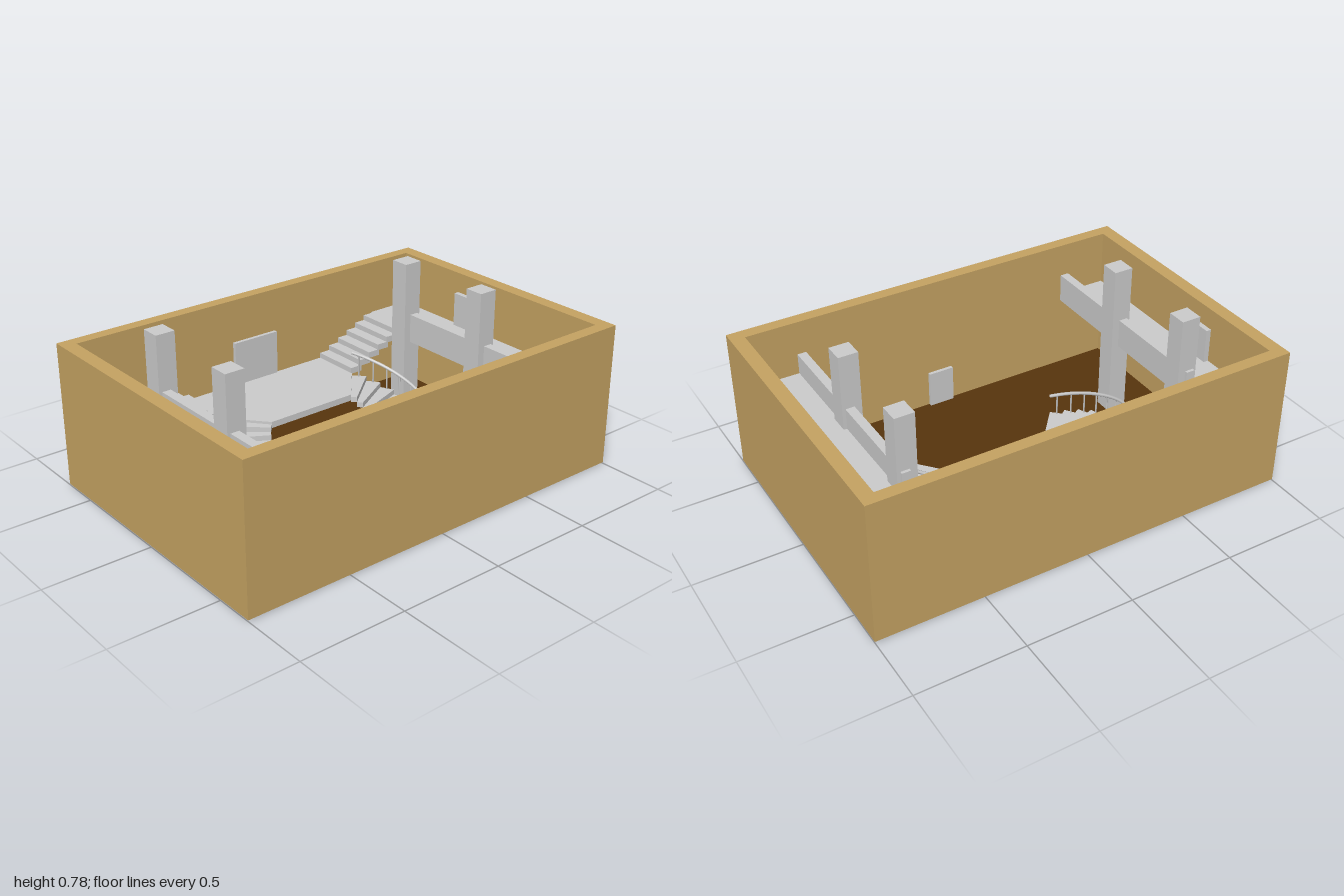
import * as THREE from 'three';

const wallTan = new THREE.MeshStandardMaterial({ color: 0xc4a262 });
const stone = new THREE.MeshStandardMaterial({ color: 0xcbcbcb });
const floorBrown = new THREE.MeshStandardMaterial({ color: 0x57340d });

const FLOOR = 0.02, LANDING = 0.265, BALCONY = 0.42, TREAD = 0.03;
const CX = -0.014; // interior is shifted slightly from the middle

// Box given by its min and max corners (x may be swapped when mirrored)
function box(name, material, [x0, y0, z0], [x1, y1, z1]) {
  const mesh = new THREE.Mesh(new THREE.BoxGeometry(Math.abs(x1 - x0), y1 - y0, z1 - z0), material);
  mesh.position.set((x0 + x1) / 2, (y0 + y1) / 2, (z0 + z1) / 2);
  mesh.name = name;
  return mesh;
}

// Horizontal slab from an outline in x,z with its upper face at the given height
function slab(name, material, points, top, thickness, hole) {
  const shape = new THREE.Shape(points.map(([x, z]) => new THREE.Vector2(x, z)));
  if (hole) shape.holes.push(new THREE.Path(hole.map(([x, z]) => new THREE.Vector2(x, z))));
  const geometry = new THREE.ExtrudeGeometry(shape, { depth: thickness, bevelEnabled: false });
  geometry.rotateX(Math.PI / 2);
  const mesh = new THREE.Mesh(geometry, material);
  mesh.position.y = top;
  mesh.name = name;
  return mesh;
}

const rect = (x0, z0, x1, z1) => [[x0, z0], [x1, z0], [x1, z1], [x0, z1]];

// Curved stair: wedge treads around a centre, with an outer handrail
function curvedStair(s) {
  const group = new THREE.Group();
  group.name = 'curvedStair';
  const cx = 0.122, cz = -0.062, inner = 0.163, outer = 0.408, span = 0.865, steps = 10;
  const at = (r, a) => [s * (cx + r * Math.cos(a)), cz + r * Math.sin(a)];
  const heightAt = (t) => LANDING - (LANDING - FLOOR) * t;
  for (let i = 0; i < steps; i++) {
    const a0 = -span + (2 * span * i) / steps;
    const a1 = -span + (2 * span * (i + 1)) / steps;
    const am = (a0 + a1) / 2;
    const outline = [at(inner, a0), at(outer, a0), at(outer, am), at(outer, a1), at(inner, a1), at(inner, am)];
    group.add(slab('curvedTread', stone, outline, heightAt((i + 0.5) / steps), TREAD - 0.005));
    // baluster
    const [x, z] = at(outer - 0.008, am);
    const post = new THREE.Mesh(new THREE.CylinderGeometry(0.004, 0.004, 0.11, 6), stone);
    post.position.set(x, heightAt((i + 0.5) / steps) + 0.055, z);
    post.name = 'baluster';
    group.add(post);
  }
  const path = [];
  for (let i = 0; i <= 12; i++) {
    const t = i / 12;
    const [x, z] = at(outer - 0.008, -span + 2 * span * t);
    path.push(new THREE.Vector3(x, heightAt(t) + 0.11, z));
  }
  const rail = new THREE.Mesh(
    new THREE.TubeGeometry(new THREE.CatmullRomCurve3(path), 36, 0.008, 6), stone);
  rail.name = 'handrail';
  group.add(rail);
  return group;
}

// Straight stair from the landing up to the balcony
function straightStair(s) {
  const group = new THREE.Group();
  group.name = 'straightStair';
  const steps = 6, x0 = 0.385, x1 = 0.72, run = (x1 - x0) / steps;
  for (let i = 0; i < steps; i++) {
    const top = LANDING + ((BALCONY - LANDING) * (i + 1)) / steps;
    group.add(box('straightTread', stone,
      [s * (x0 + i * run), top - TREAD, -0.615], [s * (x0 + (i + 1) * run + 0.008), top, -0.375]));
  }
  return group;
}

export function createModel() {
  const model = new THREE.Group();
  model.name = 'hall';

  // Outer walls and floor
  model.add(slab('walls', wallTan, rect(-1, -0.682, 1, 0.682), 0.683, 0.678,
    rect(-0.935, -0.625, 0.935, 0.623)));
  model.add(box('floor', floorBrown, [-0.95, 0.003, -0.66], [0.95, FLOOR, 0.635]));

  const interior = new THREE.Group();
  interior.name = 'interior';
  interior.position.x = CX;
  model.add(interior);

  // Central landing with angled front corners
  interior.add(slab('landing', stone, [
    [-0.387, -0.615], [0.387, -0.615], [0.387, -0.372],
    [0.228, -0.186], [-0.228, -0.186], [-0.387, -0.372],
  ], LANDING, TREAD));

  // Doors in the back and front walls
  interior.add(box('backDoor', stone, [-0.122, LANDING, -0.627], [0.118, 0.476, -0.607]));
  interior.add(box('frontDoor', stone, [-0.055, FLOOR, 0.606], [0.07, 0.2, 0.625]));

  for (const s of [-1, 1]) {
    const wallX = s * 0.936 - CX;
    interior.add(box('balcony', stone, [s * 0.72, BALCONY - 0.04, -0.625], [wallX, BALCONY, 0.623]));
    interior.add(box('parapet', stone, [s * 0.678, 0.38, -0.39], [s * 0.72, 0.52, 0.623]));
    interior.add(box('sideDoor', stone, [wallX - s * 0.025, BALCONY, -0.24], [wallX, 0.585, -0.12]));
    for (const z of [-0.33, 0.17]) {
      interior.add(box('pillar', stone, [s * 0.643, 0, z - 0.046], [s * 0.735, 0.78, z + 0.046]));
    }
    interior.add(straightStair(s), curvedStair(s));
  }
  return model;
}
